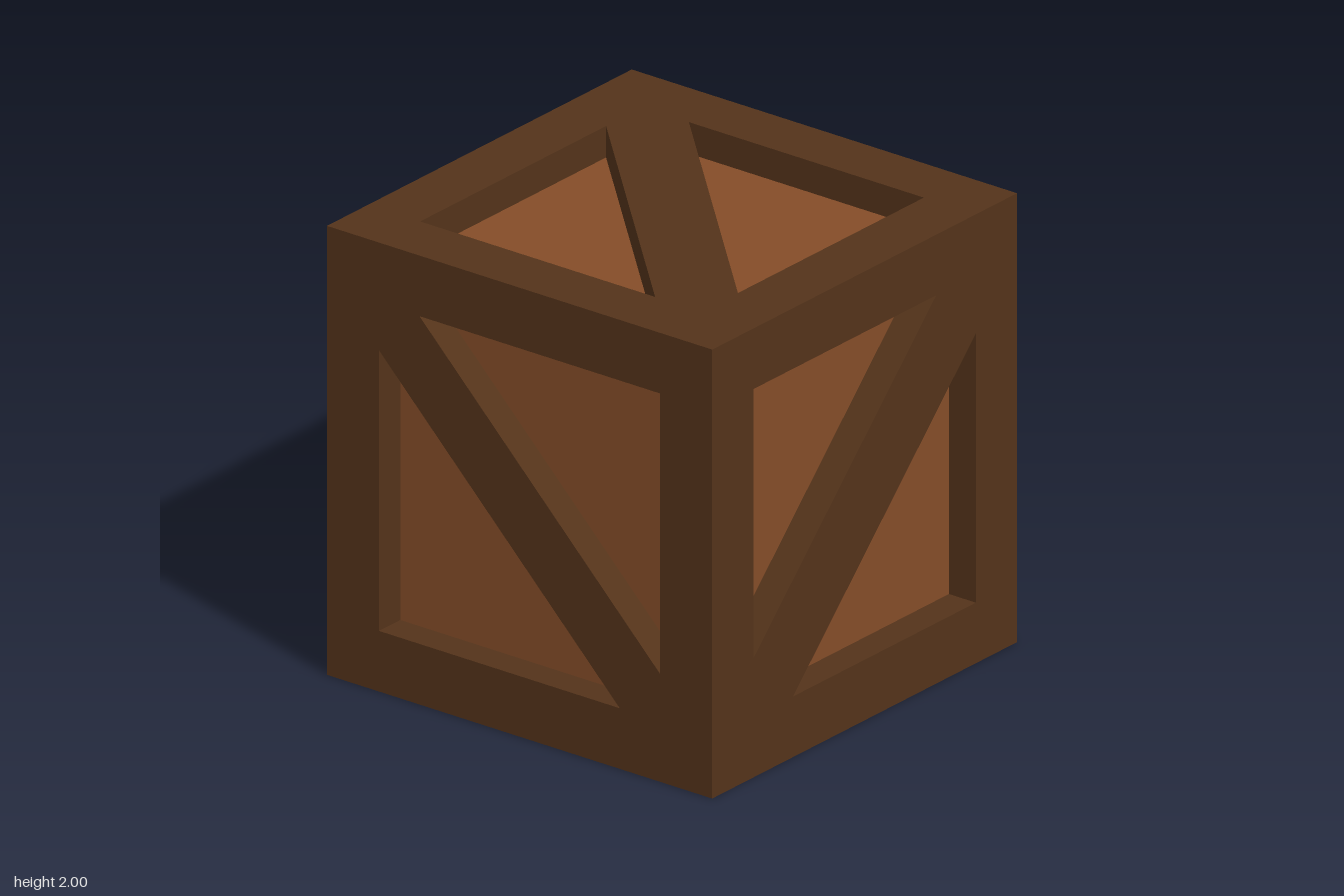
import * as THREE from 'three';

const HALF = 1;      // half the crate's side
const HOLE = 0.73;   // half the opening in each frame
const DEPTH = 0.14;  // how far the panels are set back

const polygon = (points) => points.map(([x, y]) => new THREE.Vector2(x, y));

// Square frame with a diagonal brace; slant 1 falls to the right, -1 rises, 0 has no brace.
function frameGeometry(slant, offset) {
  const h = HOLE, k = h - offset;
  const shape = new THREE.Shape(polygon([[-HALF, -HALF], [HALF, -HALF], [HALF, HALF], [-HALF, HALF]]));
  const openings = slant === 0
    ? [[[-h, -h], [-h, h], [h, h], [h, -h]]]
    : [
      [[-h, -h], [-h, k], [k, -h]],
      [[h, h], [h, -k], [-k, h]],
    ].map((tri) => tri.map(([x, y]) => [x * slant, y]));
  for (const o of openings) shape.holes.push(new THREE.Path(polygon(o)));

  const geometry = new THREE.ExtrudeGeometry(shape, { depth: DEPTH, bevelEnabled: false });
  geometry.translate(0, 0, HALF - DEPTH);

  // Mitre the outer edge so that neighbouring frames meet cleanly
  const p = geometry.attributes.position;
  for (let i = 0; i < p.count; i++) {
    if (p.getZ(i) > HALF - DEPTH / 2) continue;
    for (const axis of [0, 1]) {
      const v = p.getComponent(i, axis);
      if (Math.abs(v) > 0.99) p.setComponent(i, axis, Math.sign(v) * (HALF - DEPTH));
    }
  }
  geometry.computeVertexNormals();
  return geometry;
}

export function createModel() {
  const crate = new THREE.Group();
  crate.name = 'crate';
  const frameWood = new THREE.MeshStandardMaterial({ color: 0x54331a });
  const panelWood = new THREE.MeshStandardMaterial({ color: 0x854d28 });

  // Inner box showing as the recessed panels
  const size = 2 * (HALF - DEPTH);
  const panels = new THREE.Mesh(new THREE.BoxGeometry(size, size, size), panelWood);
  panels.name = 'panels';
  panels.position.y = HALF;
  crate.add(panels);

  // One braced frame per side: name, rotation x, rotation y, brace slant, brace half width
  const q = Math.PI / 2;
  const sides = [
    ['frontFrame', 0, 0, 1, 0.21],
    ['rightFrame', 0, q, -1, 0.26],
    ['backFrame', 0, 2 * q, 1, 0.19],
    ['leftFrame', 0, -q, -1, 0.21],
    ['topFrame', -q, 0, 1, 0.24],
    ['bottomFrame', q, 0, 0, 0],
  ];
  for (const [name, rx, ry, slant, offset] of sides) {
    const frame = new THREE.Mesh(frameGeometry(slant, offset), frameWood);
    frame.name = name;
    frame.rotation.set(rx, ry, 0);
    frame.position.y = HALF;
    crate.add(frame);
  }
  return crate;
}
